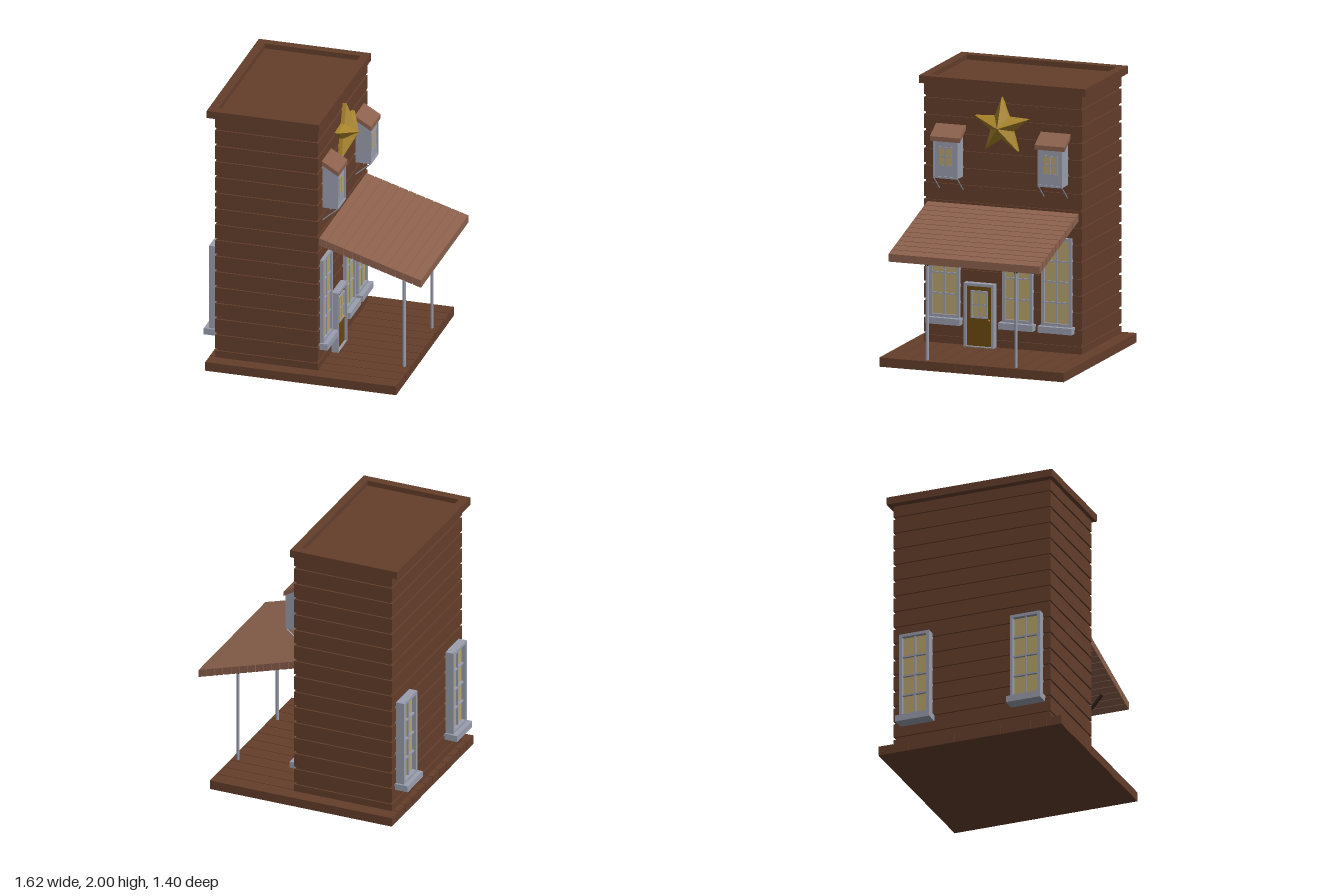
import * as THREE from 'three';

const mat = (color) => new THREE.MeshStandardMaterial({ color, flatShading: true });

export function createModel() {
  const root = new THREE.Group();
  const wood = mat(0x643e2b), shingle = mat(0x8c614d), trim = mat(0x9a9fae);
  const glass = mat(0xb8a56e), doorWood = mat(0x6b480e), gold = mat(0xa8842a);
  const dark = mat(0x33221a), brass = mat(0xc07020);
  for (const m of [gold]) m.side = THREE.DoubleSide;

  const add = (parent, name, geo, material) => {
    const m = new THREE.Mesh(geo, material);
    m.name = name;
    parent.add(m);
    return m;
  };
  const group = (name, parent = root) => {
    const g = new THREE.Group();
    g.name = name;
    parent.add(g);
    return g;
  };
  // box given by its min and max on each axis
  const box = (parent, name, material, x0, x1, y0, y1, z0, z1) => {
    const m = add(parent, name, new THREE.BoxGeometry(x1 - x0, y1 - y0, z1 - z0), material);
    m.position.set((x0 + x1) / 2, (y0 + y1) / 2, (z0 + z1) / 2);
    return m;
  };
  // xy outline extruded between two z values
  const prism = (parent, name, material, pts, z0, z1) => {
    const shape = new THREE.Shape(pts.map(([x, y]) => new THREE.Vector2(x, y)));
    const m = add(parent, name, new THREE.ExtrudeGeometry(shape, { depth: z1 - z0, bevelEnabled: false }), material);
    m.position.z = z0;
    return m;
  };
  // thin round bar between two points
  const bar = (parent, name, material, a, b, r) => {
    const p = new THREE.Vector3(...a), q = new THREE.Vector3(...b);
    const m = add(parent, name, new THREE.CylinderGeometry(r, r, p.distanceTo(q), 8), material);
    m.position.copy(p).add(q).multiplyScalar(0.5);
    m.quaternion.setFromUnitVectors(new THREE.Vector3(0, 1, 0), q.sub(p).normalize());
    return m;
  };
  // rectangular frame with one opening, facing +z, standing on y = 0
  const frame = (parent, name, w, h, depth, border, bottom = border) => {
    const rect = (P, x0, x1, y0, y1) =>
      new P([[x0, y0], [x1, y0], [x1, y1], [x0, y1]].map((p) => new THREE.Vector2(...p)));
    const s = rect(THREE.Shape, -w / 2, w / 2, 0, h);
    s.holes.push(rect(THREE.Path, -w / 2 + border, w / 2 - border, bottom, h - border));
    return add(parent, name, new THREE.ExtrudeGeometry(s, { depth, bevelEnabled: false }), trim);
  };
  // glazed window facing +z
  const glazing = (parent, name, w, h, depth, border, cols, rows, muntin) => {
    const g = group(name, parent);
    frame(g, 'windowFrame', w, h, depth, border);
    const gw = w - 2 * border, gh = h - 2 * border, zg = depth * 0.55;
    box(g, 'glass', glass, -gw / 2, gw / 2, border, border + gh, 0, zg);
    for (let i = 1; i < cols; i++) {
      const x = -gw / 2 + (gw * i) / cols;
      box(g, 'muntin', trim, x - muntin / 2, x + muntin / 2, border, border + gh, 0, depth * 0.8);
    }
    for (let i = 1; i < rows; i++) {
      const y = border + (gh * i) / rows;
      box(g, 'muntin', trim, -gw / 2, gw / 2, y - muntin / 2, y + muntin / 2, 0, depth * 0.8);
    }
    return g;
  };

  // boardwalk: planks along x over a core
  const deck = group('boardwalk');
  box(deck, 'deckCore', wood, -0.751, 0.656, 0, 0.064, -0.7, 0.7);
  const nDeck = 12, deckPitch = 1.41 / nDeck;
  for (let i = 0; i < nDeck; i++) {
    const z = -0.705 + i * deckPitch;
    box(deck, 'deckPlank', wood, -0.755, 0.66, 0.001, 0.068, z + 0.003, z + deckPitch - 0.003);
  }

  // walls: siding boards with narrow gaps
  const walls = group('walls');
  box(walls, 'wallCore', wood, -0.7, 0.038, 0.064, 1.955, -0.59, 0.59);
  for (let i = 0; i < 16; i++) {
    const y0 = i === 0 ? 0.068 : 0.14 + (i - 1) * 0.123;
    const y1 = i === 15 ? 1.95 : 0.12 + i * 0.123;
    box(walls, 'sidingBoard', wood, -0.712, 0.05, y0, y1, -0.602, 0.602);
  }

  // cornice rim around the sunken flat roof
  const cornice = group('cornice');
  box(cornice, 'roofDeck', wood, -0.75, 0.05, 1.946, 1.962, -0.62, 0.62);
  for (const s of [-1, 1]) {
    box(cornice, 'rimSide', wood, -0.765, 0.067, 1.945, 2, s > 0 ? 0.57 : -0.634, s > 0 ? 0.634 : -0.57);
  }
  box(cornice, 'rimBack', wood, -0.765, -0.7, 1.945, 2, -0.57, 0.57);
  box(cornice, 'rimFront', wood, 0.007, 0.067, 1.945, 2, -0.57, 0.57);

  // sloping porch roof of boards running along z
  const porch = group('porchRoof');
  const top = (x) => 1.09 - (x - 0.045) * 0.303;
  const slab = (name, x0, x1, inset, z) => prism(porch, name, shingle, [
    [x0, top(x0) - 0.056 + inset], [x1, top(x1) - 0.056 + inset], [x1, top(x1) - inset], [x0, top(x0) - inset],
  ], -z, z);
  slab('roofCore', 0.045, 0.8, 0.004, 0.566);
  const nRoof = 12, roofPitch = 0.76 / nRoof;
  for (let i = 0; i < nRoof; i++) {
    const x = 0.045 + i * roofPitch;
    slab('roofBoard', x + 0.003, x + roofPitch - (i === nRoof - 1 ? 0 : 0.003), 0, 0.575);
  }

  // porch posts with diagonal braces
  for (const z of [0.355, -0.32]) {
    const post = group('porchPost');
    bar(post, 'postShaft', trim, [0.614, 0.066, z], [0.614, 0.875, z], 0.0125);
    for (const s of [-1, 1]) {
      const b = box(post, 'postBrace', dark, -0.011, 0.011, -0.068, 0.068, -0.008, 0.008);
      b.position.set(0.614, 0.808, z + s * 0.046);
      b.rotation.x = s * 0.72;
    }
  }

  // tall windows with sills, on the street face and the rear
  const tallWindow = (z, x, depth, facing) => {
    const g = group(facing > 0 ? 'frontWindow' : 'rearWindow');
    const w = glazing(g, 'sash', 0.23, 0.645, depth, 0.022, 2, 4, 0.011);
    w.position.y = 0.26;
    box(g, 'sill', trim, -0.13, 0.13, 0.215, 0.262, 0, depth + 0.035);
    g.position.set(x, 0, z);
    g.rotation.y = (facing * Math.PI) / 2;
  };
  for (const z of [0.438, -0.117, -0.416]) tallWindow(z, 0.042, 0.034, 1);
  for (const z of [0.43, -0.42]) tallWindow(z, -0.705, 0.07, -1);

  // door
  const door = group('door');
  frame(door, 'doorFrame', 0.228, 0.465, 0.06, 0.02, 0.008);
  box(door, 'doorPanel', doorWood, -0.096, 0.096, 0.006, 0.447, 0, 0.042);
  glazing(door, 'doorWindow', 0.13, 0.2, 0.014, 0.012, 2, 2, 0.012).position.set(0, 0.212, 0.04);
  const knob = add(door, 'doorKnob', new THREE.SphereGeometry(0.009, 10, 8), brass);
  knob.position.set(0.075, 0.2, 0.05);
  door.position.set(0.042, 0.066, 0.165);
  door.rotation.y = Math.PI / 2;

  // upper bay windows with small roofs and struts
  for (const z of [0.395, -0.402]) {
    const bay = group('bayWindow');
    bay.position.z = z;
    prism(bay, 'bayBody', trim, [[0.04, 1.29], [0.157, 1.29], [0.157, 1.585], [0.04, 1.645]], -0.092, 0.092);
    prism(bay, 'bayRoof', shingle, [[0.04, 1.635], [0.172, 1.557], [0.172, 1.59], [0.04, 1.668]], -0.114, 0.114);
    const f = frame(bay, 'bayTrim', 0.188, 0.28, 0.01, 0.014);
    f.position.set(0.155, 1.288, 0);
    f.rotation.y = Math.PI / 2;
    const w = glazing(bay, 'bayGlazing', 0.115, 0.14, 0.006, 0.008, 2, 2, 0.01);
    w.position.set(0.156, 1.376, 0);
    w.rotation.y = Math.PI / 2;
    for (const s of [-1, 1]) bar(bay, 'bayStrut', trim, [0.045, 1.19, s * 0.09], [0.16, 1.29, s * 0.09], 0.0045);
  }

  // faceted star: a rim strip plus a fan rising to the apex
  const pos = [], cy = 1.68, rim = 0.078, back = 0.045;
  const pt = (i, x) => {
    const a = (i * Math.PI) / 5, r = i % 2 ? 0.09 : 0.213;
    return [x, cy + r * Math.cos(a), -r * Math.sin(a)];
  };
  for (let i = 0; i < 10; i++) {
    const a = pt(i, rim), b = pt(i + 1, rim), c = pt(i, back), d = pt(i + 1, back);
    pos.push(...a, [0.168, cy, 0], b, ...[]);
    pos.splice(pos.length - 5, 5, ...a, 0.168, cy, 0, ...b, ...a, ...b, ...c, ...b, ...d, ...c);
  }
  const starGeo = new THREE.BufferGeometry();
  starGeo.setAttribute('position', new THREE.Float32BufferAttribute(pos, 3));
  // orient every triangle outward from the star's middle
  const p = starGeo.attributes.position, T = new THREE.Triangle(), n = new THREE.Vector3(), m = new THREE.Vector3();
  const mid = new THREE.Vector3(back, cy, 0);
  for (let i = 0; i < p.count; i += 3) {
    T.setFromAttributeAndIndices(p, i, i + 1, i + 2);
    if (T.getNormal(n).dot(T.getMidpoint(m).sub(mid)) < 0) {
      p.setXYZ(i + 1, T.c.x, T.c.y, T.c.z);
      p.setXYZ(i + 2, T.b.x, T.b.y, T.b.z);
    }
  }
  starGeo.computeVertexNormals();
  add(root, 'star', starGeo, gold);

  return root;
}
